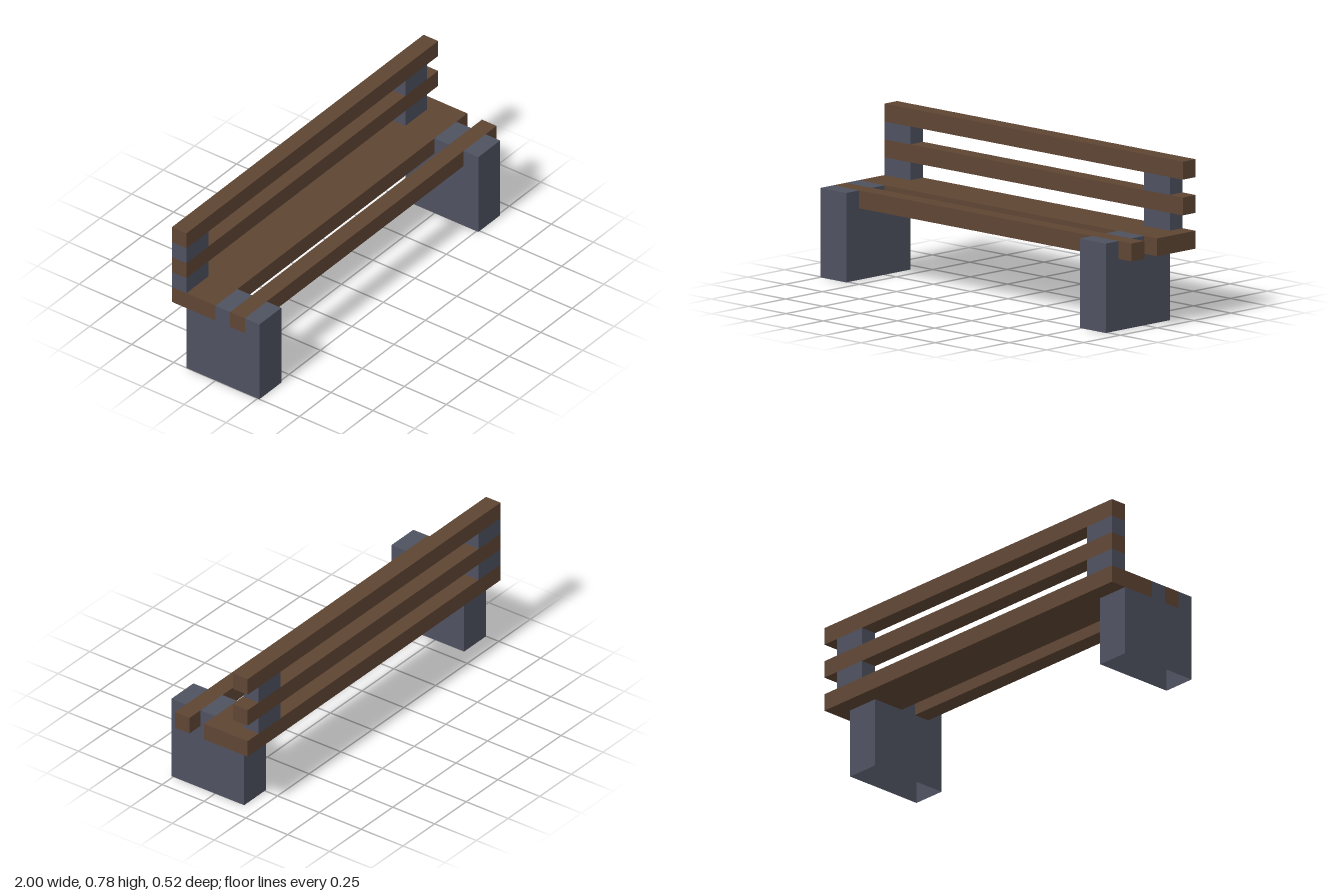
import * as THREE from 'three';

const U = 2 / 23; // one block; all parts sit on this grid

export function createModel() {
  const bench = new THREE.Group();
  bench.name = 'bench';

  const wood = new THREE.MeshStandardMaterial({ color: 0x5f4533 });
  wood.name = 'brown wood';
  const stone = new THREE.MeshStandardMaterial({ color: 0x4e5260, side: THREE.DoubleSide });
  stone.name = 'grey stone';

  // Box from grid limits: x is counted from the end at -x, z from the centre
  function block(name, material, [x0, x1], [y0, y1], [z0, z1], parent = bench) {
    const geometry = new THREE.BoxGeometry((x1 - x0) * U, (y1 - y0) * U, (z1 - z0) * U);
    geometry.translate((x0 + x1) / 2 * U - 1, (y0 + y1) / 2 * U, (z0 + z1) / 2 * U);
    const mesh = new THREE.Mesh(geometry, material);
    mesh.name = name;
    parent.add(mesh);
    return mesh;
  }

  // Wooden planks run the full length
  const length = [0, 23];
  block('seatBoard', wood, length, [4, 5], [-3, 0]);
  block('frontSeatSlat', wood, length, [4, 5], [1, 2]);
  block('lowerBackSlat', wood, length, [6, 7], [-3, -2]);
  block('upperBackSlat', wood, length, [8, 9], [-3, -2]);

  // Two supports: the +x one is set in by one block
  for (const [name, x] of [['rightSupport', [0, 2]], ['leftSupport', [20, 22]]]) {
    const support = new THREE.Group();
    support.name = name;
    bench.add(support);

    // Hollow leg: drop the top and bottom faces, which are open
    const leg = block('leg', stone, x, [0, 4], [-2, 3], support);
    const index = Array.from(leg.geometry.index.array);
    leg.geometry.setIndex([...index.slice(0, 12), ...index.slice(24)]);
    leg.geometry.clearGroups();

    // Leg top between and in front of the seat planks
    block('seatSpacer', stone, x, [4, 5], [0, 1], support);
    block('frontSpacer', stone, x, [4, 5], [2, 3], support);

    // Back post, interrupted by the slats
    block('lowerBackPost', stone, x, [5, 6], [-3, -2], support);
    block('upperBackPost', stone, x, [7, 8], [-3, -2], support);
  }

  return bench;
}
